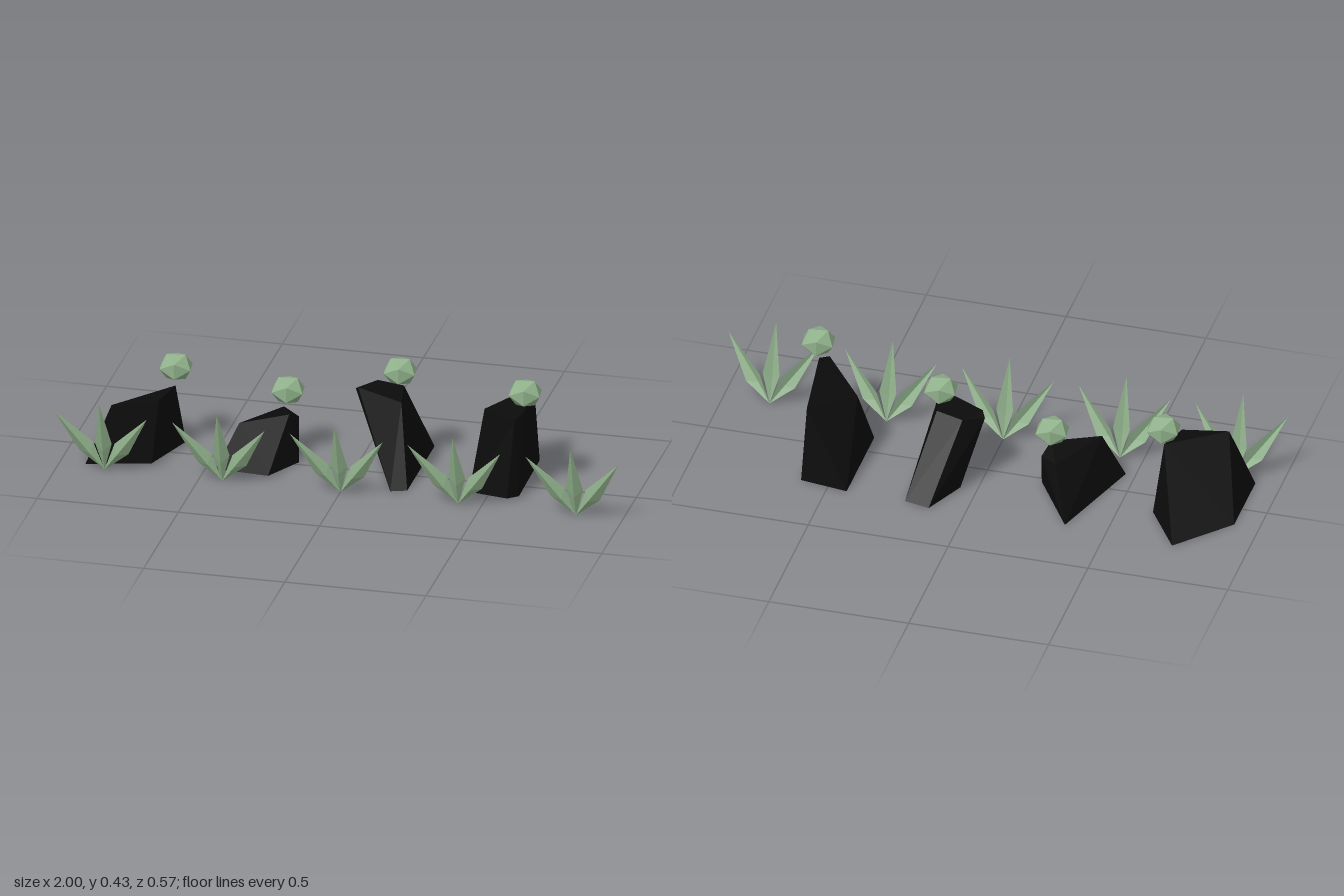
import * as THREE from 'three';
import { ConvexGeometry } from 'three/addons/geometries/ConvexGeometry.js';

const leafGreen = new THREE.MeshStandardMaterial({ color: 0x8fb08a, flatShading: true, side: THREE.DoubleSide });
leafGreen.name = 'leafGreen';
const rockBlack = new THREE.MeshStandardMaterial({ color: 0x0b0b0b, flatShading: true });
rockBlack.name = 'rockBlack';

// Each rock: base outline [x, z] on the ground and upper corners [x, y, z]; bud is its hovering ball
const ROCKS = [
  {
    base: [[-0.91, -0.10], [-0.74, -0.285], [-0.62, -0.10], [-0.69, 0.11], [-0.91, 0.17]],
    top: [[-0.825, 0.217, 0.14], [-0.67, 0.228, 0.09], [-0.64, 0.238, -0.03]],
    bud: [-0.64, 0.307, -0.037],
  },
  {
    base: [[-0.35, -0.26], [-0.20, -0.02], [-0.275, 0.12], [-0.465, 0.105]],
    top: [[-0.39, 0.165, 0.07], [-0.235, 0.175, -0.02], [-0.215, 0.145, -0.08], [-0.28, 0.155, -0.13]],
    bud: [-0.25, 0.248, -0.065],
  },
  {
    base: [[0.165, 0.15], [0.22, 0.13], [0.22, -0.265], [0.13, -0.285], [0.06, -0.13]],
    top: [[-0.015, 0.27, -0.085], [0, 0.284, -0.06], [0.05, 0.284, -0.14], [0.15, 0.286, -0.11], [0.175, 0.284, 0.03]],
    bud: [0.145, 0.355, -0.075],
  },
  {
    base: [[0.43, -0.26], [0.60, -0.235], [0.605, 0.085], [0.57, 0.115], [0.43, 0.09]],
    top: [[0.45, 0.255, -0.05], [0.585, 0.285, -0.215], [0.62, 0.31, 0.065], [0.595, 0.293, 0.11]],
    bud: [0.622, 0.38, 0.064],
  },
];

function makeRock({ base, top }) {
  const points = [
    ...base.map(([x, z]) => new THREE.Vector3(x, 0, z)),
    ...top.map((p) => new THREE.Vector3(...p)),
  ];
  return new THREE.Mesh(new ConvexGeometry(points), rockBlack);
}

// Leaf folded along its ridge: root, two side corners, raised ridge point and tip
function makeBlade(tip, halfWidth) {
  const end = new THREE.Vector3(...tip);
  const out = new THREE.Vector3(end.y, -end.x, 0).normalize().multiplyScalar(halfWidth);
  const mid = end.clone().multiplyScalar(0.38);
  const a = mid.clone().sub(out);
  const b = mid.clone().add(out);
  a.z -= 0.012;
  b.z -= 0.012;
  const ridge = end.clone().multiplyScalar(0.28);
  ridge.z += 0.007;
  const root = new THREE.Vector3();
  const faces = [root, ridge, a, root, b, ridge, a, ridge, end, ridge, b, end];
  const geometry = new THREE.BufferGeometry().setFromPoints(faces);
  geometry.computeVertexNormals();
  return new THREE.Mesh(geometry, leafGreen);
}

function makeGrass(x) {
  const tuft = new THREE.Group();
  tuft.name = 'grassTuft';
  const centre = makeBlade([0, 0.28, 0.084], 0.03);
  centre.name = 'centreBlade';
  tuft.add(centre);
  for (const side of [-1, 1]) {
    const blade = makeBlade([side * 0.165, 0.23, 0.062], 0.03);
    blade.name = side > 0 ? 'leftBlade' : 'rightBlade';
    tuft.add(blade);
  }
  tuft.position.set(x, 0, 0.199);
  return tuft;
}

export function createModel() {
  const model = new THREE.Group();
  model.name = 'rockGarden';

  // Rocks with a slightly flattened faceted bud above each
  const budGeometry = new THREE.IcosahedronGeometry(0.063, 0);
  ROCKS.forEach((spec, i) => {
    const rock = makeRock(spec);
    rock.name = `rock${i + 1}`;
    const bud = new THREE.Mesh(budGeometry, leafGreen);
    bud.name = `bud${i + 1}`;
    bud.position.set(...spec.bud);
    bud.scale.y = 0.84;
    bud.rotation.y = 0.12;
    model.add(rock, bud);
  });

  // Row of grass tufts along the front
  for (let i = -2; i <= 2; i++) model.add(makeGrass(i * 0.4175));

  return model;
}
